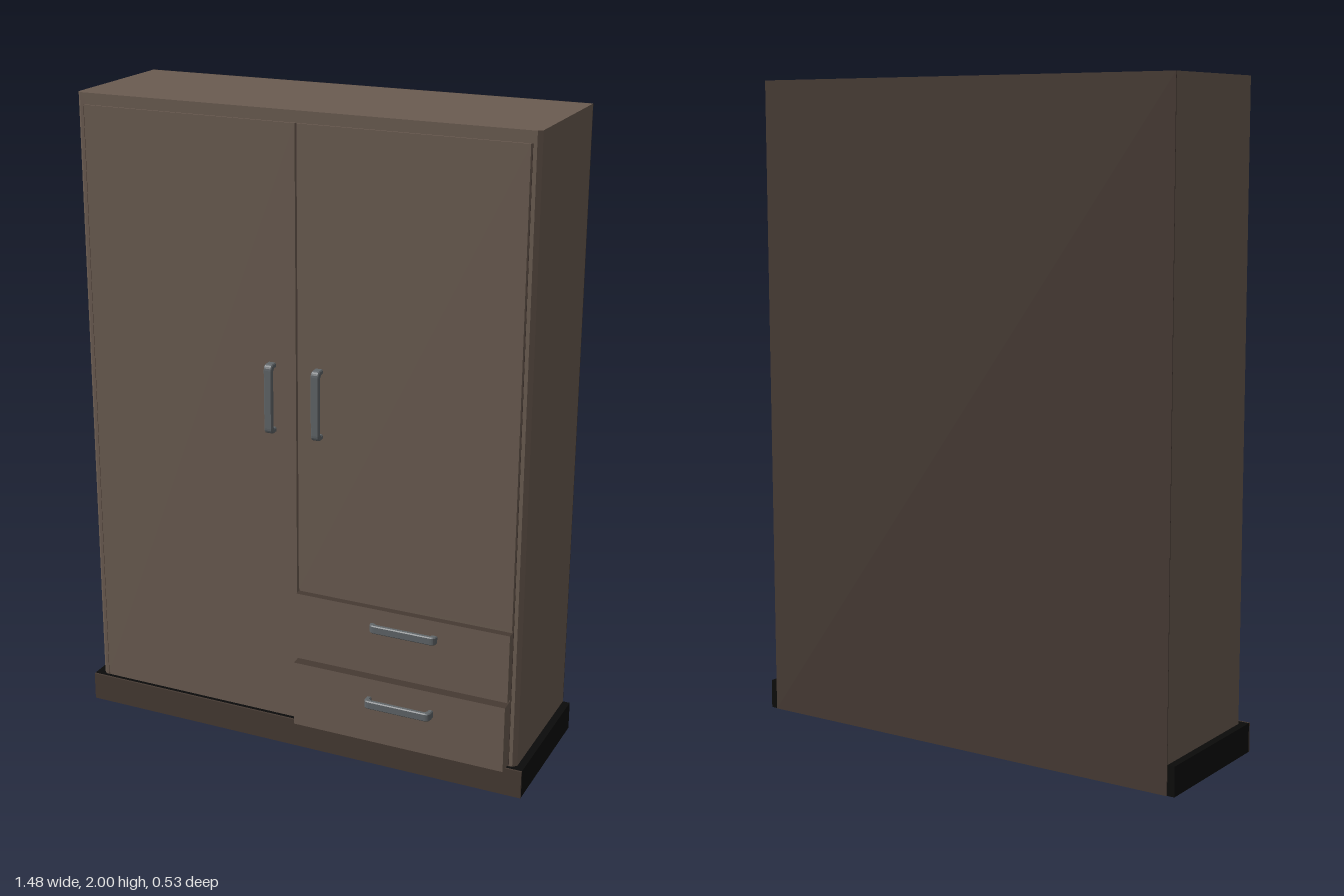
import * as THREE from 'three';

const mat = (name, color) => {
  const m = new THREE.MeshStandardMaterial({ color });
  m.name = name;
  return m;
};

export function createModel() {
  const wood = mat('wood', 0x6b5c51);
  const darkWood = mat('darkWood', 0x463a33);
  const black = mat('black', 0x0b0b0a);
  const metal = mat('metal', 0x606568);
  const group = new THREE.Group();

  const add = (name, geometry, material) => {
    const mesh = new THREE.Mesh(geometry, material);
    mesh.name = name;
    group.add(mesh);
    return mesh;
  };
  // Box given by its minimum and maximum corners
  const box = (name, x0, x1, y0, y1, z0, z1, material) => {
    const mesh = add(name, new THREE.BoxGeometry(x1 - x0, y1 - y0, z1 - z0), material);
    mesh.position.set((x0 + x1) / 2, (y0 + y1) / 2, (z0 + z1) / 2);
    return mesh;
  };

  // Carcass: plan outline with small chamfers on the front corners
  const w = 0.717, back = -0.262, front = 0.188, c = 0.012;
  const plan = new THREE.Shape([
    [-w, back], [w, back], [w, front - c], [w - c, front], [-w + c, front], [-w, front - c],
  ].map(([x, z]) => new THREE.Vector2(x, -z)));
  const carcass = new THREE.ExtrudeGeometry(plan, { depth: 1.91, bevelEnabled: false });
  carcass.rotateX(-Math.PI / 2);
  add('carcass', carcass, wood).position.y = 0.09;

  // Plinth with a dark wood face, and the full height back panel
  box('plinth', -0.74, 0.74, 0, 0.09, back, 0.2, black);
  box('plinthFace', -0.74, 0.74, 0, 0.09, 0.2, 0.206, darkWood);
  box('backPanel', -w, w, 0, 2, back - 0.003, back, darkWood);

  // Doors, with thin dark gaps around them
  box('leftGap', 0.69, 0.694, 0.09, 1.965, front, front + 0.002, darkWood);
  box('rightGap', -0.694, -0.69, 0.09, 1.965, front, front + 0.002, darkWood);
  box('middleGap', -0.003, 0.003, 0.09, 1.965, front, front + 0.002, darkWood);
  box('rightDoor', -0.69, -0.003, 0.098, 1.965, front, 0.194, wood);
  box('leftDoor', 0.003, 0.69, 0.54, 1.965, front, 0.194, wood);

  // Drawers standing slightly open, with dark top edges
  const faces = [wood, wood, darkWood, darkWood, wood, wood];
  box('upperDrawer', 0.002, 0.69, 0.312, 0.53, 0.18, 0.211, faces);
  box('lowerDrawer', 0.002, 0.69, 0.092, 0.305, 0.18, 0.232, faces);

  // Bow handle: U outline, long in x and projecting in y
  const L = 0.108, D = 0.034, t = 0.015, r = 0.018;
  const bow = new THREE.Shape();
  bow.moveTo(-L, 0);
  bow.lineTo(-L + t, 0);
  bow.lineTo(-L + t, D - t - 0.006);
  bow.lineTo(-L + t + 0.008, D - t);
  bow.lineTo(L - t - 0.008, D - t);
  bow.lineTo(L - t, D - t - 0.006);
  bow.lineTo(L - t, 0);
  bow.lineTo(L, 0);
  bow.lineTo(L, D - r);
  bow.quadraticCurveTo(L, D, L - r, D);
  bow.lineTo(-L + r, D);
  bow.quadraticCurveTo(-L, D, -L, D - r);
  bow.closePath();
  const handleGeometry = new THREE.ExtrudeGeometry(bow, {
    depth: 0.02, bevelSize: 0.003, bevelThickness: 0.003, bevelOffset: -0.003, bevelSegments: 1, curveSegments: 5,
  });
  handleGeometry.translate(0, 0, -0.01);
  handleGeometry.rotateX(Math.PI / 2);
  const handle = (name, x, y, z, upright) => {
    const mesh = add(name, handleGeometry, metal);
    mesh.position.set(x, y, z);
    if (upright) mesh.rotation.z = Math.PI / 2;
  };
  handle('rightDoorHandle', -0.08, 1.147, 0.193, true);
  handle('leftDoorHandle', 0.072, 1.147, 0.193, true);
  handle('upperDrawerHandle', 0.357, 0.47, 0.196, false);
  handle('lowerDrawerHandle', 0.357, 0.233, 0.23, false);

  return group;
}
